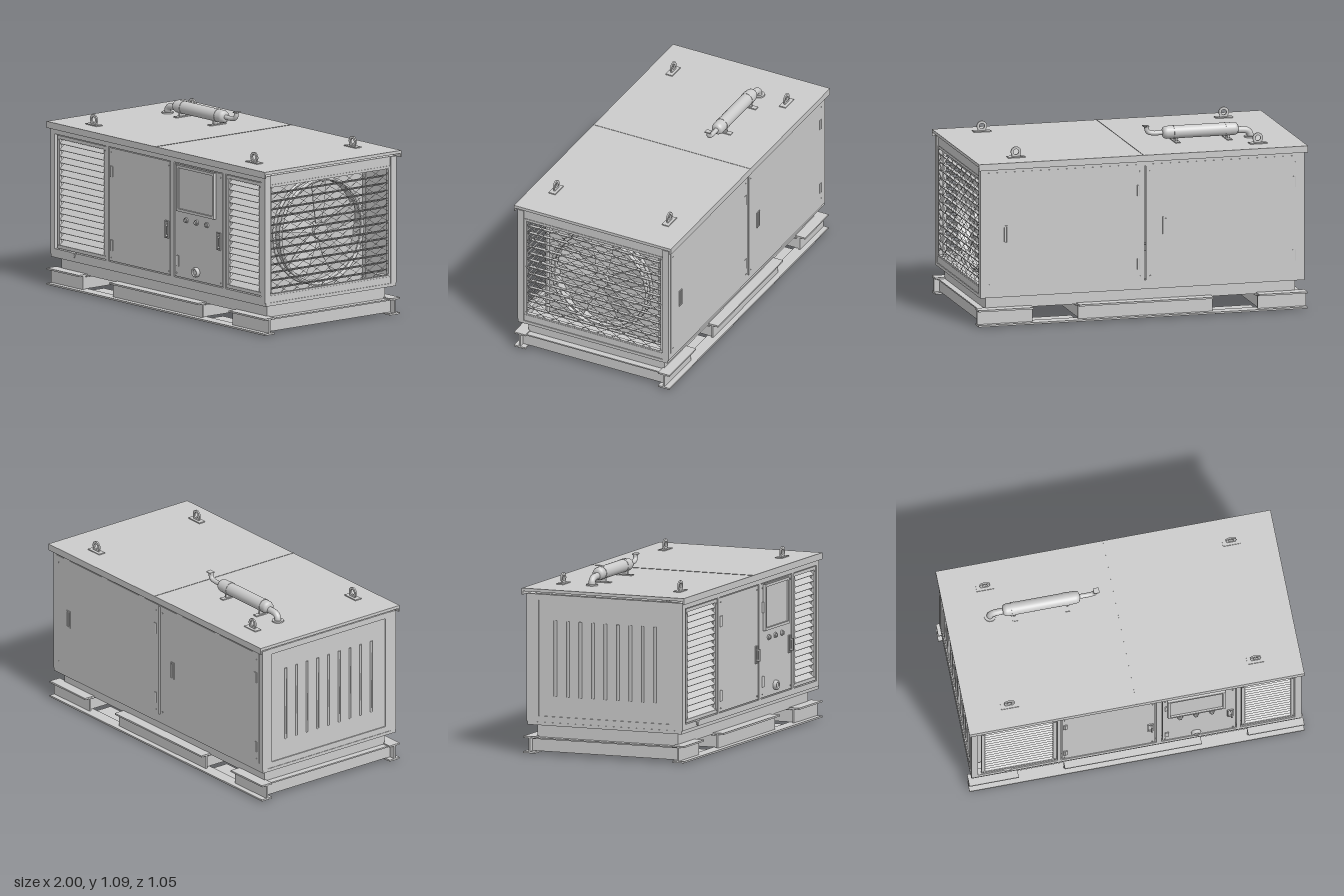
import * as THREE from 'three';

const mat = new THREE.MeshStandardMaterial({ color: 0xcccccc, side: THREE.DoubleSide });

export function createModel() {
  const root = new THREE.Group();
  const add = (name, geo, x = 0, y = 0, z = 0, parent = root) => {
    const m = new THREE.Mesh(geo, mat);
    m.name = name;
    m.position.set(x, y, z);
    parent.add(m);
    return m;
  };
  // box given by its limits on each axis
  const box = (name, x0, x1, y0, y1, z0, z1, parent = root) =>
    add(name, new THREE.BoxGeometry(x1 - x0, y1 - y0, z1 - z0), (x0 + x1) / 2, (y0 + y1) / 2, (z0 + z1) / 2, parent);
  // round bar along an axis
  const rod = (name, axis, r, len, x, y, z, seg = 24, parent = root) => {
    const g = new THREE.CylinderGeometry(r, r, len, seg);
    if (axis === 'x') g.rotateZ(Math.PI / 2);
    if (axis === 'z') g.rotateX(Math.PI / 2);
    return add(name, g, x, y, z, parent);
  };
  // rectangular frame in the xy plane
  const frame = (name, x0, x1, y0, y1, bar, z0, z1, parent = root) => {
    const g = new THREE.Group();
    g.name = name;
    box(name + 'Bottom', x0, x1, y0, y0 + bar, z0, z1, g);
    box(name + 'Top', x0, x1, y1 - bar, y1, z0, z1, g);
    box(name + 'Left', x1 - bar, x1, y0 + bar, y1 - bar, z0, z1, g);
    box(name + 'Right', x0, x0 + bar, y0 + bar, y1 - bar, z0, z1, g);
    parent.add(g);
    return g;
  };

  // skid: I-beams with fork pockets
  for (const s of [-1, 1]) {
    const span = (name, x0, x1, y0, y1, a, b) => box(name, x0, x1, y0, y1, Math.min(s * a, s * b), Math.max(s * a, s * b));
    span('skidBottomFlange', -1, 1, 0.008, 0.018, 0.44, 0.515);
    for (const [x0, x1] of [[-1, -0.705], [-0.43, 0.387], [0.665, 1]]) {
      span('skidWeb', x0, x1, 0.018, 0.098, 0.472, 0.482);
      span('skidTopFlange', x0, x1, 0.098, 0.108, 0.44, 0.515);
    }
    for (const [x0, x1] of [[-0.705, -0.43], [0.387, 0.665]])
      span('forkPocketPlate', x0, x1, 0, 0.008, 0.325, 0.48);
  }
  for (const x of [-0.96, -0.715, -0.41, 0.03, 0.375, 0.685, 0.96]) {
    box('crossMember', x - 0.005, x + 0.005, 0.02, 0.1, -0.472, 0.472);
    box('crossMemberFlange', x - 0.02, x + 0.02, 0.092, 0.1, -0.46, 0.46);
  }
  box('base', -0.94, 0.94, 0.1, 0.178, -0.45, 0.45);

  // enclosure floor, frame and roof
  box('floor', -0.985, 0.985, 0.176, 0.195, -0.495, 0.495);
  for (const z of [-0.48, 0.48]) {
    for (const x of [-0.965, 0.965]) box('cornerPost', x - 0.02, x + 0.02, 0.195, 0.952, z - 0.02, z + 0.02);
    box('bottomRail', -0.945, 0.945, 0.195, 0.23, z - 0.02, z + 0.02);
    box('topRail', -0.945, 0.945, 0.915, 0.952, z - 0.02, z + 0.02);
  }
  box('roof', -1, 1, 0.966, 0.984, -0.525, 0.515);
  box('roofSeam', -0.0015, 0.0015, 0.984, 0.986, -0.527, 0.517);
  for (const z of [-0.521, 0.511]) box('roofLip', -1, 1, 0.945, 0.966, z - 0.004, z + 0.004);

  // hinge with two pins, and corner bolts, of a door standing on a z plane
  const hinges = (x, z) => {
    for (const y of [0.33, 0.77]) {
      box('hingeLeaf', x - 0.008, x + 0.008, y - 0.032, y + 0.032, z - 0.004, z + 0.004);
      rod('hingePin', 'y', 0.006, 0.065, x - 0.01, y, z, 12);
    }
  };
  const bolts = (x0, x1, z) => {
    for (const x of [x0, x1]) for (const y of [0.255, 0.885]) rod('bolt', 'z', 0.004, 0.006, x, y, z, 10);
  };
  const handle = (x, z) => {
    frame('handlePlate', x - 0.018, x + 0.018, 0.45, 0.555, 0.006, z - 0.004, z + 0.004);
    for (const y of [0.468, 0.53]) box('handleLeg', x + 0.002, x + 0.012, y - 0.005, y + 0.005, z, z + 0.018);
    box('handleGrip', x + 0.002, x + 0.012, 0.463, 0.535, z + 0.012, z + 0.02);
  };

  // front doors and door posts
  box('frontDoor', -0.445, 0.11, 0.235, 0.91, 0.483, 0.497);
  box('controlDoor', 0.155, 0.59, 0.235, 0.91, 0.483, 0.497);
  for (const [x0, x1] of [[-0.472, -0.452], [0.118, 0.148], [0.598, 0.622]])
    box('doorPost', x0, x1, 0.23, 0.915, 0.465, 0.5);
  hinges(-0.42, 0.498);
  hinges(0.185, 0.498);
  handle(0.083, 0.5);
  handle(0.56, 0.5);
  bolts(-0.43, 0.095, 0.498);
  bolts(0.17, 0.575, 0.498);

  // control panel
  frame('displayFrame', 0.185, 0.53, 0.63, 0.905, 0.016, 0.497, 0.514);
  box('display', 0.2, 0.515, 0.645, 0.89, 0.495, 0.503);
  for (const x of [0.26, 0.355, 0.45]) {
    rod('knobCollar', 'z', 0.016, 0.012, x, 0.583, 0.5);
    rod('knob', 'z', 0.01, 0.014, x, 0.583, 0.507);
  }
  rod('socket', 'z', 0.028, 0.02, 0.355, 0.287, 0.503, 32);
  add('socketRim', new THREE.TorusGeometry(0.022, 0.006, 8, 32), 0.355, 0.287, 0.513);
  rod('drainPlug', 'z', 0.012, 0.02, -0.77, 0.213, 0.495);
  box('drainBracket', -0.79, -0.75, 0.222, 0.23, 0.49, 0.505);

  // row of sloping slats between two heights
  const slats = (parent, name, x0, x1, y0, y1, count, z, tilt, depth) => {
    for (let i = 0; i < count; i++) {
      const y = y0 + (y1 - y0) * i / (count - 1);
      add(name, new THREE.BoxGeometry(x1 - x0, 0.004, depth), (x0 + x1) / 2, y, z, parent).rotation.x = tilt;
    }
  };
  for (const [x0, x1] of [[-0.925, -0.478], [0.627, 0.942]]) {
    frame('frontLouvreFrame', x0, x1, 0.235, 0.91, 0.02, 0.478, 0.495);
    slats(root, 'frontSlat', x0 + 0.02, x1 - 0.02, 0.268, 0.875, 17, 0.478, 0.75, 0.04);
    bolts(x0 + 0.01, x1 - 0.01, 0.495);
  }
  box('radiatorBlock', -0.93, -0.48, 0.22, 0.92, 0.41, 0.42);

  // fan side, modelled facing +z and turned to +x
  const side = new THREE.Group();
  side.name = 'fanSide';
  side.rotation.y = Math.PI / 2;
  root.add(side);
  box('sideBottomRail', -0.46, 0.46, 0.195, 0.235, 0.945, 0.98, side);
  box('sideTopRail', -0.46, 0.46, 0.89, 0.952, 0.945, 0.975, side);
  frame('grilleFrame', -0.46, 0.46, 0.228, 0.897, 0.016, 0.955, 0.978, side);
  for (const x of [-0.445, 0.445]) for (const y of [0.25, 0.565, 0.88]) rod('bolt', 'z', 0.005, 0.008, x, y, 0.977, 10, side);
  slats(side, 'sideSlat', -0.44, 0.44, 0.272, 0.837, 13, 0.948, -0.4, 0.055);
  // diamond wire mesh, clipped to the opening
  const slope = 0.6;
  for (const s of [-1, 1]) for (let c = -0.57; c < 0.58; c += 0.06) {
    const t0 = Math.max(-0.44, (-0.318 - c) / slope), t1 = Math.min(0.44, (0.318 - c) / slope);
    if (t1 - t0 < 0.03) continue;
    const tm = (t0 + t1) / 2, len = (t1 - t0) * Math.hypot(1, slope);
    const wire = add('meshWire', new THREE.BoxGeometry(len, 0.002, 0.002), s * tm, 0.563 + c + tm * slope, 0.976, side);
    wire.rotation.z = s * Math.atan(slope);
  }
  // fan with shroud
  box('fanPanel', -0.375, 0.375, 0.2, 0.95, 0.82, 0.83, side);
  for (const x of [-0.374, 0.374]) box('fanPost', x - 0.004, x + 0.004, 0.2, 0.95, 0.82, 0.86, side);
  for (const [r, z] of [[0.312, 0.84], [0.312, 0.9]])
    add('fanRing', new THREE.TorusGeometry(r, 0.01, 10, 64), 0, 0.553, z, side);
  const shroud = new THREE.CylinderGeometry(0.3, 0.3, 0.06, 64, 1, true).rotateX(Math.PI / 2);
  add('fanShroud', shroud, 0, 0.553, 0.865, side);
  rod('fanHub', 'z', 0.05, 0.05, 0, 0.553, 0.87, 32, side);
  const blade = new THREE.Shape();
  blade.moveTo(0.04, -0.025);
  blade.quadraticCurveTo(0.16, -0.07, 0.285, -0.06);
  blade.quadraticCurveTo(0.3, 0.01, 0.28, 0.07);
  blade.quadraticCurveTo(0.15, 0.05, 0.04, 0.025);
  const bladeGeo = new THREE.ExtrudeGeometry(blade, { depth: 0.004, bevelEnabled: false }).rotateX(0.22);
  for (let i = 0; i < 5; i++) add('fanBlade', bladeGeo, 0, 0.553, 0.868, side).rotation.z = i * Math.PI * 0.4 + 0.3;

  // back doors with recessed latches
  for (const [x0, x1] of [[-0.955, -0.022], [-0.01, 0.955]]) {
    box('backDoor', x0, x1, 0.23, 0.925, -0.502, -0.49);
    hinges(x0 + 0.035, -0.5);
    frame('backHandle', x1 - 0.135, x1 - 0.1, 0.5, 0.605, 0.006, -0.506, -0.5);
    box('backLatch', x1 - 0.122, x1 - 0.113, 0.51, 0.595, -0.506, -0.5);
    bolts(x0 + 0.025, x1 - 0.025, -0.502);
  }

  // right end panel with upright vents
  frame('endRail', -0.46, 0.46, 0.195, 0.952, 0.035, 0.945, 0.982).rotation.y = -Math.PI / 2;
  box('endPanel', -0.975, -0.962, 0.23, 0.93, -0.46, 0.46);
  const vent = new THREE.CylinderGeometry(0.012, 0.012, 0.45, 3, 1);
  for (let i = 0; i < 9; i++) add('endVent', vent, -0.974, 0.575, -0.32 + i * 0.08);

  // lifting eyes: flat rings on small plates
  const eye = new THREE.Shape().absarc(0, 0, 0.031, 0, Math.PI * 2);
  eye.holes.push(new THREE.Path().absarc(0, 0, 0.016, 0, Math.PI * 2, true));
  const eyeGeo = new THREE.ExtrudeGeometry(eye, { depth: 0.01, bevelEnabled: false, curveSegments: 24 });
  for (const x of [-0.735, 0.735]) for (const z of [-0.375, 0.375]) {
    box('liftingPlate', x - 0.052, x + 0.052, 0.984, 0.99, z - 0.022, z + 0.022);
    box('liftingStem', x - 0.025, x + 0.025, 0.988, 1.0, z - 0.005, z + 0.005);
    add('liftingEye', eyeGeo, x, 1.017, z - 0.005);
  }

  // exhaust silencer
  const ez = -0.19, ey = 1.04;
  const profile = [[0, -0.23], [0.02, -0.23], [0.033, -0.222], [0.038, -0.205], [0.038, 0.205], [0.033, 0.222], [0.02, 0.23], [0, 0.23]];
  const can = new THREE.LatheGeometry(profile.map(p => new THREE.Vector2(...p)), 32).rotateZ(-Math.PI / 2);
  add('silencer', can, -0.435, ey, ez);
  const pipe = (name, pts, r) => add(name, new THREE.TubeGeometry(
    new THREE.CatmullRomCurve3(pts.map(([x, y]) => new THREE.Vector3(x, y, ez))), 32, r, 16));
  pipe('inletPipe', [[-0.65, 1.03], [-0.69, 1.03], [-0.722, 1.024], [-0.738, 1.006], [-0.74, 0.984]], 0.02);
  pipe('outletPipe', [[-0.215, ey], [-0.15, ey], [-0.122, 1.047], [-0.112, 1.061], [-0.11, 1.08]], 0.014);
  rod('inletFlange', 'y', 0.035, 0.008, -0.74, 0.988, ez);
  box('rainCap', -0.122, -0.088, 1.081, 1.088, ez - 0.017, ez + 0.017).rotation.z = 0.08;
  for (const x of [-0.6, -0.285]) {
    rod('silencerBand', 'x', 0.04, 0.028, x, ey, ez, 32);
    box('silencerFoot', x - 0.015, x + 0.015, 0.984, 0.99, ez - 0.06, ez + 0.06);
    box('silencerLeg', x - 0.005, x + 0.005, 0.988, ey - 0.03, ez - 0.03, ez + 0.03);
  }
  return root;
}
